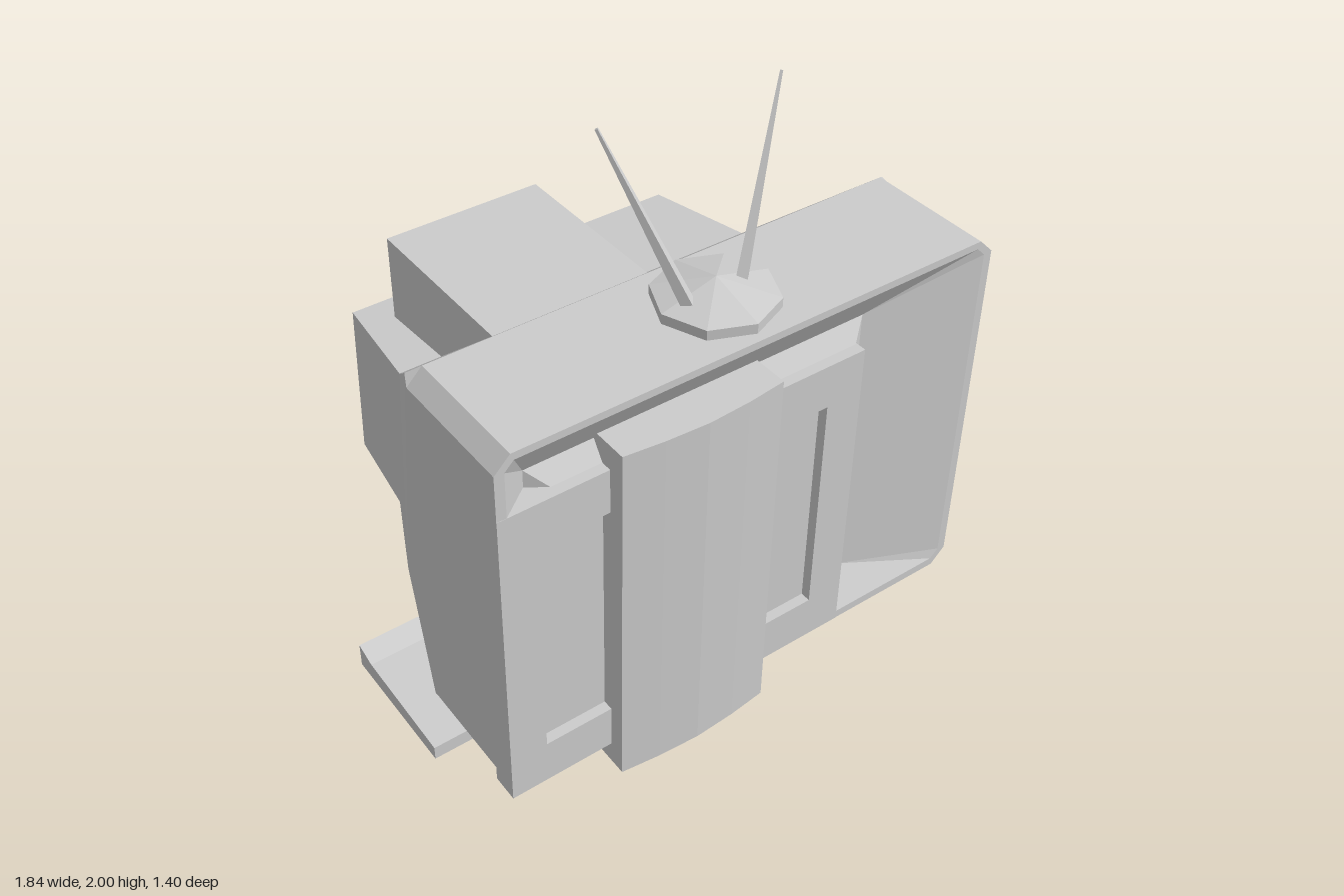
import * as THREE from 'three';
import { ConvexGeometry } from 'three/addons/geometries/ConvexGeometry.js';

const CX = 0.04; // cabinet's centre line

export function createModel() {
  const group = new THREE.Group();
  const grey = new THREE.MeshStandardMaterial({ color: 0xcccccc });
  grey.name = 'plain grey';

  const add = (name, geometry) => {
    const mesh = new THREE.Mesh(geometry, grey);
    mesh.name = name;
    group.add(mesh);
    return mesh;
  };

  // Rectangle with cut corners, counter-clockwise from the front; c = 0 keeps eight points
  const octagon = (x0, x1, y0, y1, c = 0) => [
    [x0 + c, y0], [x1 - c, y0], [x1, y0 + c], [x1, y1 - c],
    [x1 - c, y1], [x0 + c, y1], [x0, y1 - c], [x0, y0 + c],
  ];
  const toVectors = (pts) => pts.map(([x, y]) => new THREE.Vector2(x, y));

  // Extrudes an outline along z from z0 to z1, with an optional hole
  const slab = (outline, z0, z1, hole) => {
    const shape = new THREE.Shape(toVectors(outline));
    if (hole) shape.holes.push(new THREE.Path(toVectors(hole)));
    return new THREE.ExtrudeGeometry(shape, { depth: z1 - z0, bevelEnabled: false }).translate(0, 0, z0);
  };

  // Flat-shaded skin between rings, from the outermost inwards, closed at the last
  const inwardLoft = (rings) => {
    const pos = [];
    for (let r = 0; r < rings.length - 1; r++) {
      const a = rings[r], b = rings[r + 1], n = a.length;
      for (let i = 0; i < n; i++) {
        const j = (i + 1) % n;
        pos.push(...a[i], ...a[j], ...b[j], ...a[i], ...b[j], ...b[i]);
      }
    }
    const last = rings[rings.length - 1];
    for (let i = 1; i < last.length - 1; i++) pos.push(...last[0], ...last[i], ...last[i + 1]);
    const g = new THREE.BufferGeometry();
    g.setAttribute('position', new THREE.Float32BufferAttribute(pos, 3));
    g.computeVertexNormals();
    return g;
  };
  const atZ = (pts, z) => pts.map(([x, y]) => [x, y, z]);

  // Convex block from [halfWidth, y, z] points mirrored about the cabinet's centre
  const mirroredHull = (pts) => new ConvexGeometry(pts.flatMap(([w, y, z]) => [
    new THREE.Vector3(CX + w, y, z), new THREE.Vector3(CX - w, y, z),
  ]));

  // Cabinet: front frame around the sunken screen
  const outer = octagon(-0.835, 0.915, 0.08, 1.41, 0.052);
  const rim = octagon(-0.803, 0.885, 0.11, 1.385, 0.03);
  add('frontFrame', slab(outer, 0.5, 0.62, rim));

  // Sloped surround running into a screen with bevelled edges
  add('screen', inwardLoft([
    atZ(rim, 0.62),
    atZ(octagon(-0.705, 0.48, 0.24, 1.26), 0.545),
    atZ(octagon(-0.645, 0.425, 0.3, 1.2), 0.585),
  ]));

  // Straight part of the cabinet behind the frame
  add('cabinet', slab(outer, 0.18, 0.5));

  // Tapered back, lower back wall and tube housing
  const upper = [0.665, 1.01, -0.285], lower = [0.66, 0.10, -0.38], step = [0.655, 0.39, -0.4];
  add('taperedBack', mirroredHull([
    [0.823, 1.41, 0.18], [0.875, 1.358, 0.18], [0.875, 0.132, 0.18], [0.823, 0.08, 0.18],
    [0.862, 1.383, 0.15], [0.858, 0.083, 0.14], upper, lower,
  ]));
  add('lowerBackWall', mirroredHull([upper, lower, step]));
  add('tubeHousing', mirroredHull([upper, step, [0.612, 0.975, -0.69], [0.622, 0.415, -0.7]]));

  // Flat panel over the lower left of the front, with a shallow sunken window
  add('frontPanel', slab(octagon(-0.835, 0.43, 0.08, 1.2), 0.585, 0.621,
    octagon(-0.71, 0.3, 0.24, 1.045)));
  add('panelBacking', slab(octagon(-0.835, 0.43, 0.08, 1.2), 0.53, 0.586));

  // Upright block through the cabinet, with a slightly bowed front
  const plan = [[-0.478, 0.58], [0.07, 0.58], [0.07, -0.677], [-0.06, -0.692],
    [-0.204, -0.7], [-0.345, -0.692], [-0.478, -0.677]];
  add('uprightBlock', slab(plan, 0, 1.285).rotateX(-Math.PI / 2));

  // Low foot board, rising towards the back
  const foot = [[-0.3, 0], [0.175, 0], [0.175, 0.09], [0.1, 0.065], [-0.3, 0.05]];
  add('footBoard', slab(foot, -0.92, 0.512).rotateY(Math.PI / 2));

  // Aerial base: eight-sided disc with a shallow cone on top
  const disc = new THREE.CylinderGeometry(0.19, 0.19, 0.04, 8).toNonIndexed();
  disc.computeVertexNormals();
  add('aerialBase', disc).position.set(CX, 1.423, 0.4);
  const cap = new THREE.ConeGeometry(0.19, 0.052, 8, 1, true).toNonIndexed();
  cap.computeVertexNormals();
  add('aerialCap', cap).position.set(CX, 1.469, 0.4);

  // Two tapering aerial rods
  const rod = (name, from, to) => {
    const a = new THREE.Vector3(...from), b = new THREE.Vector3(...to);
    const dir = b.clone().sub(a);
    const g = new THREE.CylinderGeometry(0.006, 0.024, dir.length(), 4).toNonIndexed();
    g.computeVertexNormals();
    const mesh = add(name, g);
    mesh.position.copy(a).add(b).multiplyScalar(0.5);
    mesh.quaternion.setFromUnitVectors(new THREE.Vector3(0, 1, 0), dir.normalize());
  };
  rod('rightAerial', [-0.07, 1.455, 0.415], [-0.245, 1.98, 0.232]);
  rod('leftAerial', [0.12, 1.455, 0.415], [0.33, 1.998, 0.289]);

  return group;
}
